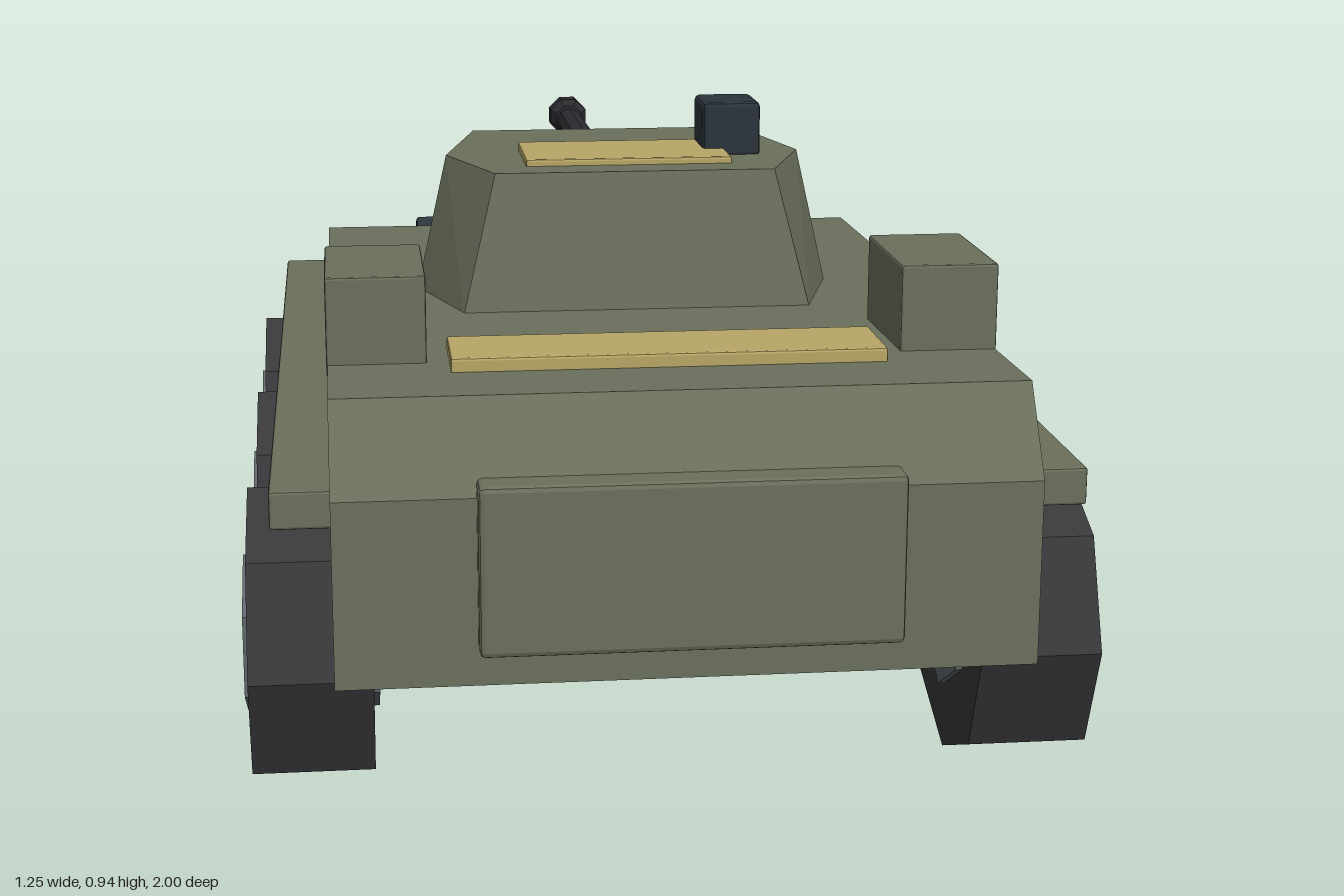
import * as THREE from 'three';
import { ConvexGeometry } from 'three/addons/geometries/ConvexGeometry.js';
import { RoundedBoxGeometry } from 'three/addons/geometries/RoundedBoxGeometry.js';

const paint = (color) => new THREE.MeshStandardMaterial({ color, flatShading: true });

export function createModel() {
  const model = new THREE.Group();
  const olive = paint(0x6b705c), tan = paint(0xb8a666), lampTan = paint(0xb09c78);
  const rubber = paint(0x38373a), steel = paint(0x5f656b);
  const gunmetal = paint(0x2b2b30), glass = paint(0x2b333b);

  const add = (name, geometry, material, x = 0, y = 0, z = 0) => {
    const mesh = new THREE.Mesh(geometry, material);
    mesh.name = name;
    mesh.position.set(x, y, z);
    model.add(mesh);
    return mesh;
  };
  // Box given by its limits on each axis, with a small chamfer
  const box = (name, material, [x0, x1], [y0, y1], [z0, z1], chamfer = 0.004) =>
    add(name, new RoundedBoxGeometry(x1 - x0, y1 - y0, z1 - z0, 1, chamfer), material,
      (x0 + x1) / 2, (y0 + y1) / 2, (z0 + z1) / 2);

  // Hull: side profile (z, y) extruded across the width
  const profile = [[0.963, 0.253], [0.963, 0.523], [0.878, 0.646], [-0.53, 0.623],
    [-0.8, 0.368], [-0.822, 0.253]];
  const hull = new THREE.ExtrudeGeometry(
    new THREE.Shape(profile.map(([z, y]) => new THREE.Vector2(z, y))),
    { depth: 0.99, bevelEnabled: false });
  hull.translate(0, 0, -0.495).rotateY(-Math.PI / 2);
  add('hull', hull, olive);
  box('endPlate', olive, [-0.296, 0.296], [0.303, 0.547], [0.94, 0.998], 0.008);
  box('deckPanel', tan, [-0.319, 0.319], [0.64, 0.664], [0.588, 0.734]);

  // Turret: two six-sided rings
  const ring = (y, pts) => pts.flatMap(([x, z]) =>
    [new THREE.Vector3(x, y, z), new THREE.Vector3(-x, y, z)]);
  add('turret', new ConvexGeometry([
    ...ring(0.63, [[0.267, -0.228], [0.346, 0.084], [0.28, 0.312]]),
    ...ring(0.855, [[0.236, -0.19], [0.295, 0.08], [0.225, 0.277]]),
  ]), olive);
  box('turretHatch', tan, [-0.171, 0.166], [0.845, 0.866], [0.018, 0.212]);
  box('sight', glass, [0.13, 0.226], [0.85, 0.942], [0.013, 0.126], 0.008);

  // Gun, pointing along -z
  box('mantlet', olive, [-0.072, 0.072], [0.703, 0.817], [-0.327, -0.218], 0.03);
  const barrel = new THREE.CylinderGeometry(0.031, 0.024, 0.64, 8).rotateX(Math.PI / 2);
  add('barrel', barrel, gunmetal, 0, 0.765, -0.62);
  const muzzle = new THREE.LatheGeometry([[0, -0.04], [0.027, -0.04], [0.039, -0.022],
    [0.039, 0.022], [0.027, 0.04], [0, 0.04]].map(([r, y]) => new THREE.Vector2(r, y)), 8);
  add('muzzle', muzzle.rotateX(Math.PI / 2).rotateZ(Math.PI / 8), gunmetal, 0, 0.769, -0.96);

  // Tilted vision plate above the sloped nose
  const plate = add('visionPlate', new RoundedBoxGeometry(0.245, 0.036, 0.1, 1, 0.006), glass,
    -0.2, 0.553, -0.735);
  plate.rotation.x = Math.PI / 4;

  // Paired parts on both sides
  const tyre = new THREE.CylinderGeometry(0.226, 0.226, 0.178, 8).rotateZ(Math.PI / 2);
  const hub = new THREE.CylinderGeometry(0.123, 0.123, 0.197, 6)
    .rotateY(Math.PI / 2).rotateZ(Math.PI / 2);
  const lamp = new THREE.CylinderGeometry(0.038, 0.038, 0.034, 8).rotateX(Math.PI / 2);
  for (const [side, s] of [['left', 1], ['right', -1]]) {
    const span = (a, b) => (s > 0 ? [a, b] : [-b, -a]);
    box(side + 'Fender', olive, span(0.47, 0.58), [0.462, 0.517], [-0.752, 0.885]);
    box(side + 'StowageBox', olive, span(0.351, 0.497), [0.625, 0.772], [0.422, 0.668]);
    add(side + 'Lamp', lamp, lampTan, s * 0.348, 0.423, -0.827);
    for (const z of [0.643, 0.07, -0.503]) {
      add(side + 'Tyre', tyre, rubber, s * 0.529, 0.229, z);
      add(side + 'Hub', hub, steel, s * 0.529, 0.229, z);
    }
  }
  return model;
}
